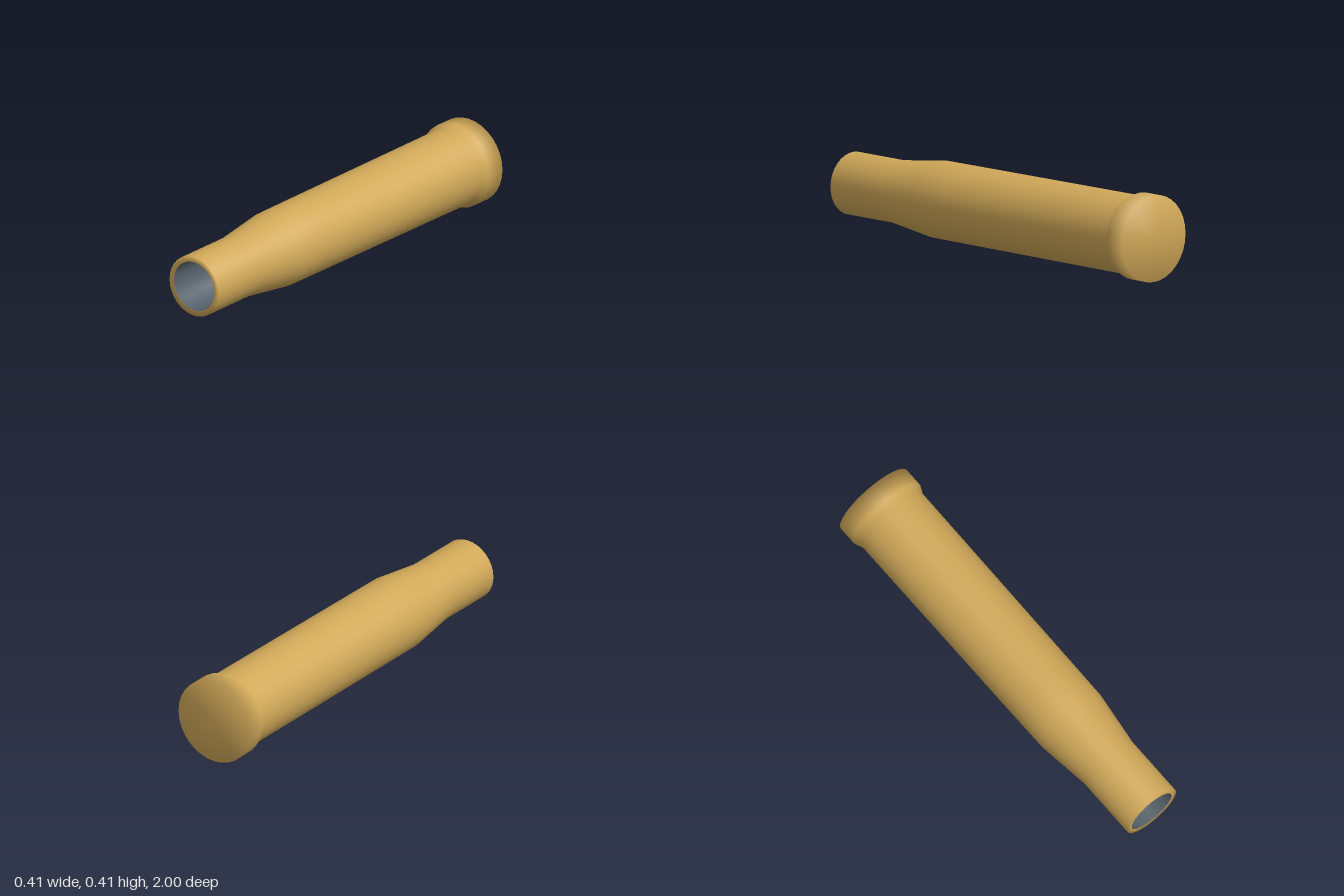
import * as THREE from 'three';

const SIDES = 32;

// Surface of revolution along z, from [radius, z] pairs
function turned(name, profile, color) {
  const geometry = new THREE.LatheGeometry(profile.map(([r, z]) => new THREE.Vector2(r, z)), SIDES);
  geometry.rotateX(Math.PI / 2);
  const mesh = new THREE.Mesh(geometry, new THREE.MeshStandardMaterial({ color }));
  mesh.name = name;
  return mesh;
}

export function createModel() {
  const group = new THREE.Group();
  group.name = 'bottleneckCase';

  // Closed base, flared rim, slightly tapered body, shoulder, neck and mouth lip
  group.add(turned('outerCase', [
    [0, -1], [0.204, -1], [0.204, -0.905], [0.186, -0.865],
    [0.182, 0.23], [0.181, 0.42], [0.147, 0.69], [0.147, 1], [0.12, 1],
  ], 0xd0a858));

  // Dark hollow running back from the mouth
  group.add(turned('bore', [[0.12, 1], [0.12, 0.4], [0, 0.4]], 0x56616b));

  group.children.forEach((part) => { part.position.y = 0.204; });
  return group;
}
